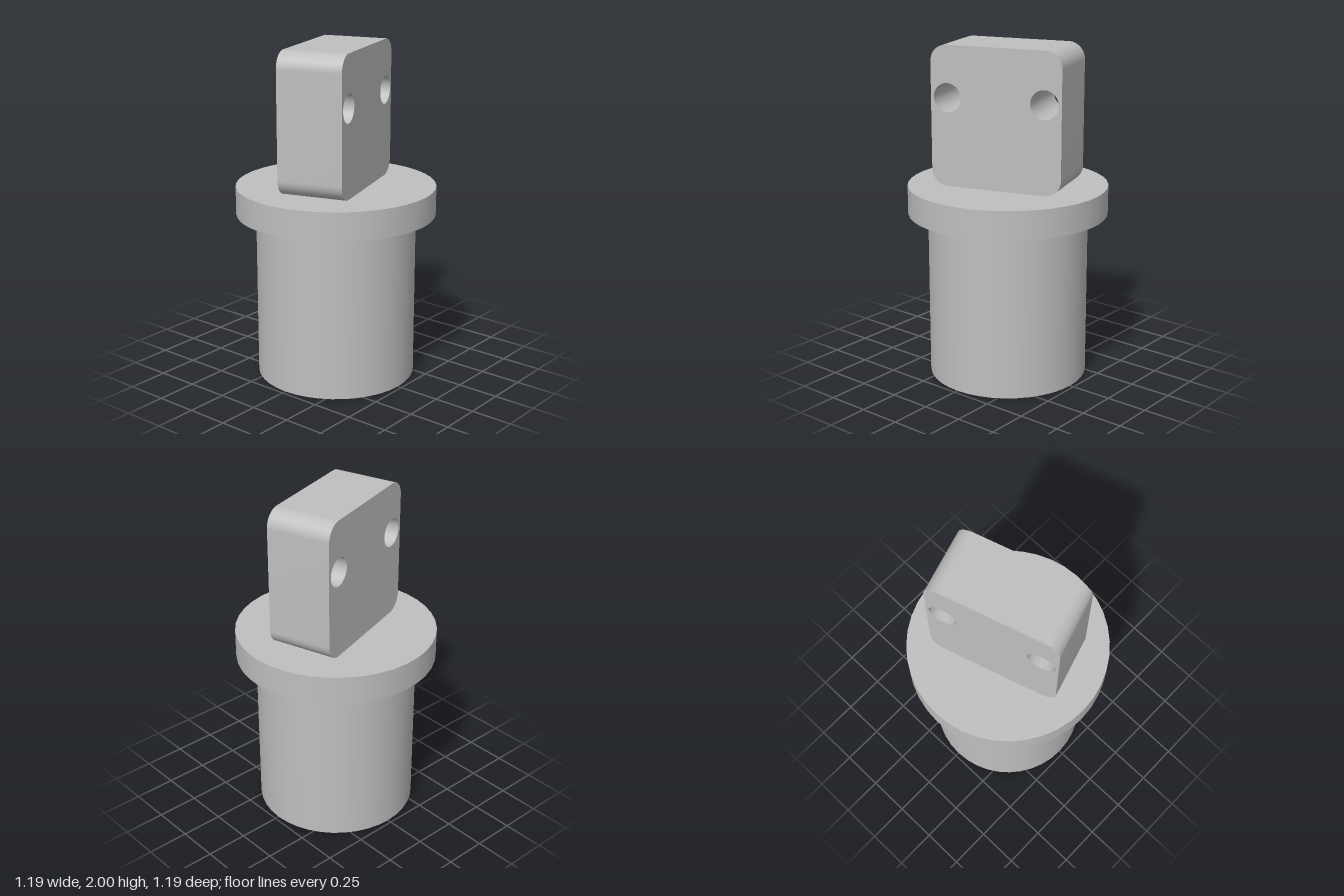
import * as THREE from 'three';
import { toCreasedNormals } from 'three/addons/utils/BufferGeometryUtils.js';

const SIDES = 40;

export function createModel() {
  const model = new THREE.Group();
  model.name = 'plugWithTab';
  const grey = new THREE.MeshStandardMaterial({ color: 0xbfbfbf });
  grey.name = 'plain grey';

  // Turned part: each straight run of the profile gets its own lathe, keeping edges sharp
  function turned(name, profile) {
    const part = new THREE.Group();
    part.name = name;
    for (let i = 0; i < profile.length - 1; i++) {
      const run = [profile[i], profile[i + 1]].map(([r, y]) => new THREE.Vector2(r, y));
      const mesh = new THREE.Mesh(new THREE.LatheGeometry(run, SIDES), grey);
      mesh.name = name + 'Face' + (i + 1);
      part.add(mesh);
    }
    model.add(part);
  }

  const bore = 0.197, body = 0.475, rim = 0.593, shoulder = 1, seat = 1.17;
  turned('bore', [[0, shoulder], [bore, shoulder], [bore, 0]]);
  turned('sleeve', [[bore, 0], [body, 0], [body, shoulder]]);
  turned('flange', [[body, shoulder], [rim, shoulder], [rim, seat], [0, seat]]);

  // Rounded tab with two through holes, turned slightly about the axis
  const w = 0.4, r = 0.1, top = 2, depth = 0.392;
  const outline = new THREE.Shape();
  outline.absarc(w - r, seat + r, r, -Math.PI / 2, 0);
  outline.absarc(w - r, top - r, r, 0, Math.PI / 2);
  outline.absarc(-w + r, top - r, r, Math.PI / 2, Math.PI);
  outline.absarc(-w + r, seat + r, r, Math.PI, Math.PI * 1.5);
  outline.closePath();
  for (const side of [-1, 1]) {
    const hole = new THREE.Path();
    hole.absarc(side * 0.297, 1.695, 0.085, 0, Math.PI * 2, true);
    outline.holes.push(hole);
  }
  const tabShape = new THREE.ExtrudeGeometry(outline, { depth, bevelEnabled: false, curveSegments: 16 });
  tabShape.translate(0, 0, -depth / 2);
  const tab = new THREE.Mesh(toCreasedNormals(tabShape, 0.6), grey);
  tab.name = 'tab';
  tab.rotation.y = 0.298;
  model.add(tab);

  return model;
}
